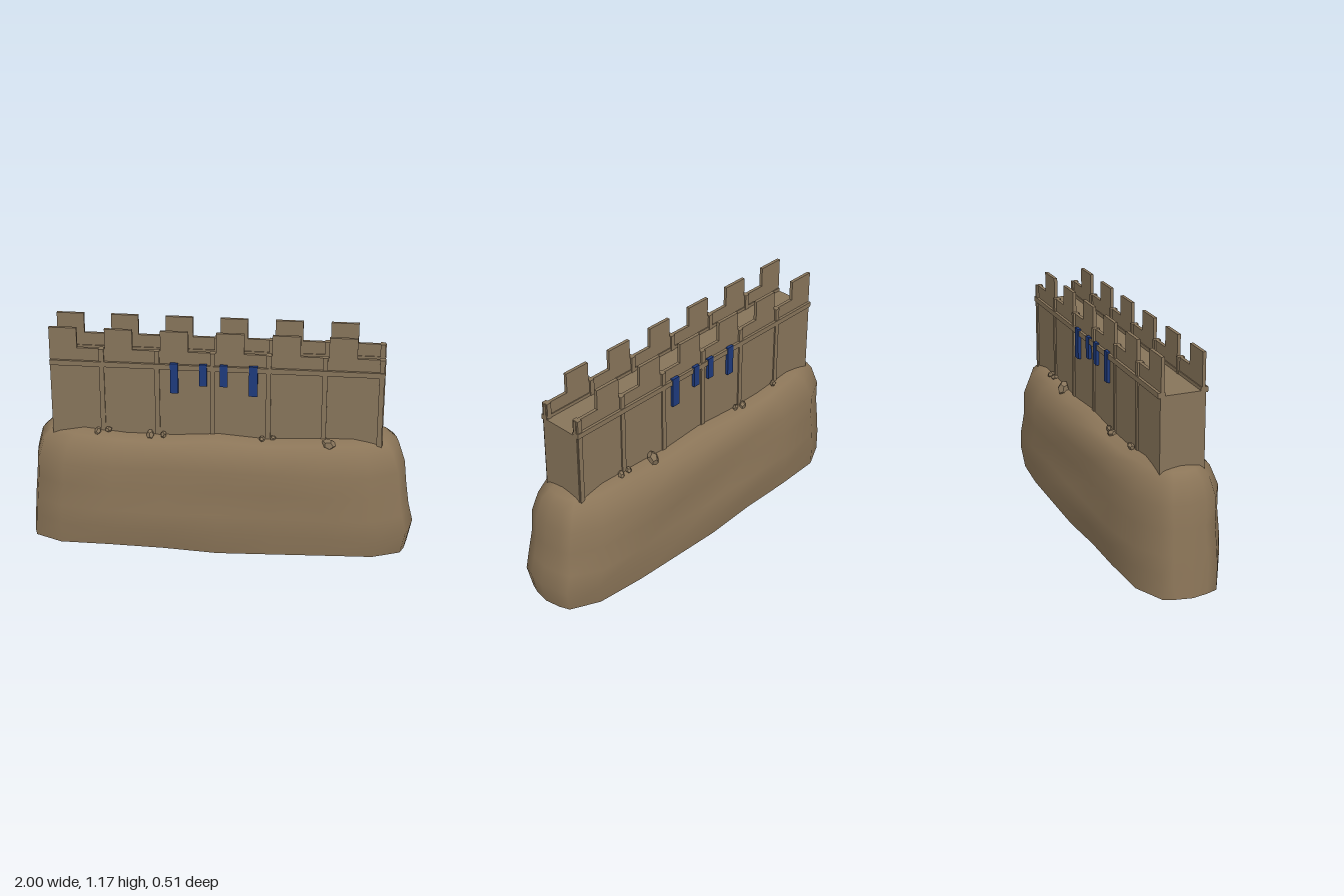
import * as THREE from 'three';

const earth = new THREE.MeshStandardMaterial({ color: 0x8b7558, side: THREE.DoubleSide });
earth.name = 'earth brown';
const stone = new THREE.MeshStandardMaterial({ color: 0x87745a });
stone.name = 'wall brown';
const blue = new THREE.MeshStandardMaterial({ color: 0x1e3a7c });
blue.name = 'banner blue';

// Box from min/max corners
function box(name, mat, x0, x1, y0, y1, z0, z1) {
  const mesh = new THREE.Mesh(new THREE.BoxGeometry(x1 - x0, y1 - y0, z1 - z0), mat);
  mesh.position.set((x0 + x1) / 2, (y0 + y1) / 2, (z0 + z1) / 2);
  mesh.name = name;
  return mesh;
}

// Rocky mound: stacked rounded outlines, hollow and open underneath
function createMound() {
  const quarter = [[1, 0], [0.985, 0.35], [0.965, 0.58], [0.82, 0.9], [0.56, 1], [0.28, 0.98], [0, 0.99]];
  const half = [...quarter, ...quarter.slice(0, -1).reverse().map(([x, z]) => [-x, z])];
  const outline = [...half, ...half.slice(1, -1).reverse().map(([x, z]) => [x, -z])];
  // y, -x reach, +x reach, z reach
  const levels = [
    [0.003, 1.0, 0.975, 0.237], [0.13, 0.99, 1.0, 0.254], [0.23, 0.983, 0.975, 0.252],
    [0.35, 0.972, 0.958, 0.236], [0.47, 0.962, 0.945, 0.245], [0.57, 0.935, 0.912, 0.21],
    [0.61, 0.895, 0.87, 0.165], [0.635, 0.84, 0.82, 0.128], [0.625, 0.75, 0.74, 0.05], [0.62, 0.6, 0.6, 0],
  ];
  const n = outline.length, pos = [], index = [];
  levels.forEach(([y, left, right, depth], j) => {
    outline.forEach(([u, v]) => {
      const x = u * (u < 0 ? left : right);
      const ripple = 1 + 0.02 * Math.sin(5 * x + 1.7 * j) * (Math.abs(v) > 0.5 ? 1 : 0);
      let h = y;
      if (j === 0) h += 0.02 * Math.sin(Math.PI * x / 1.1) ** 2;
      if (j > 5) h -= 0.028 * Math.exp(-(((x + 0.35) / 0.2) ** 2)) + 0.02 * Math.exp(-(((x - 0.27) / 0.16) ** 2));
      pos.push(x, h, v * depth * ripple);
    });
    if (j === 0) return;
    for (let i = 0; i < n; i++) {
      const a = (j - 1) * n + i, b = (j - 1) * n + (i + 1) % n;
      index.push(a, a + n, b, b, a + n, b + n);
    }
  });
  const geo = new THREE.BufferGeometry();
  geo.setAttribute('position', new THREE.Float32BufferAttribute(pos, 3));
  geo.setIndex(index);
  geo.computeVertexNormals();
  const mesh = new THREE.Mesh(geo, earth);
  mesh.name = 'mound';
  return mesh;
}

// Small faceted boulder
function rock(x, y, z, r, turn) {
  const mesh = new THREE.Mesh(new THREE.DodecahedronGeometry(r), stone);
  mesh.scale.set(1.15, 0.8, 0.85);
  mesh.rotation.set(turn, turn * 2, turn * 0.5);
  mesh.position.set(x, y, z);
  mesh.name = 'rock';
  return mesh;
}

export function createModel() {
  const model = new THREE.Group();
  model.name = 'castleWall';
  const x0 = -0.855, x1 = 0.825, step = 0.28;

  model.add(createMound());
  model.add(box('wallCore', stone, x0, x1, 0.5, 0.985, -0.115, 0.115));

  for (const s of [1, -1]) {
    const side = new THREE.Group();
    side.name = s > 0 ? 'frontFace' : 'backFace';
    const add = (name, mat, ax, bx, ay, by, near, far) =>
      side.add(box(name, mat, ax, bx, ay, by, Math.min(s * near, s * far), Math.max(s * near, s * far)));

    // Parapet and moulding
    add('parapet', stone, x0, x1, 0.95, 1.068, 0.095, 0.112);
    add('moulding', stone, x0, x1, 0.975, 1.002, 0.09, 0.126);

    // Battlements and pilasters at an even pitch
    for (let i = 0; i < 6; i++) {
      const mx = x0 + i * step, px = -0.592 + i * step;
      add('merlon', stone, mx, mx + 0.14, 1.06, 1.173, 0.095, 0.112);
      add('pilaster', stone, px - 0.0125, px + 0.0125, 0.55, 1.069, 0.087, 0.122);
    }

    // Hanging banners
    for (const [bx, by, w] of [[-0.225, 0.85, 0.04], [-0.079, 0.895, 0.038], [0.024, 0.895, 0.038], [0.172, 0.85, 0.044]]) {
      add('banner', blue, bx - w / 2, bx + w / 2, by, 1.01, 0.122, 0.13);
      add('bannerBacking', blue, bx - w / 2, bx + w / 2, by, 1.01, 0.114, 0.122);
    }
    model.add(side);
  }

  // Rocks along the foot of the wall: x, y, z, radius
  [
    [-0.62, 0.622, 0.13, 0.02], [-0.565, 0.632, 0.125, 0.018], [-0.35, 0.615, 0.132, 0.024], [-0.283, 0.617, 0.13, 0.02],
    [0.22, 0.62, 0.13, 0.018], [0.275, 0.625, 0.125, 0.017], [0.555, 0.612, 0.145, 0.036],
    [-0.56, 0.635, -0.135, 0.02], [-0.32, 0.615, -0.135, 0.022], [-0.27, 0.62, -0.13, 0.018],
    [0.35, 0.625, -0.14, 0.036], [0.51, 0.635, -0.13, 0.018], [0.56, 0.635, -0.13, 0.02],
  ].forEach(([x, y, z, r], i) => model.add(rock(x, y, z, r, 0.6 + i * 0.9)));

  return model;
}
